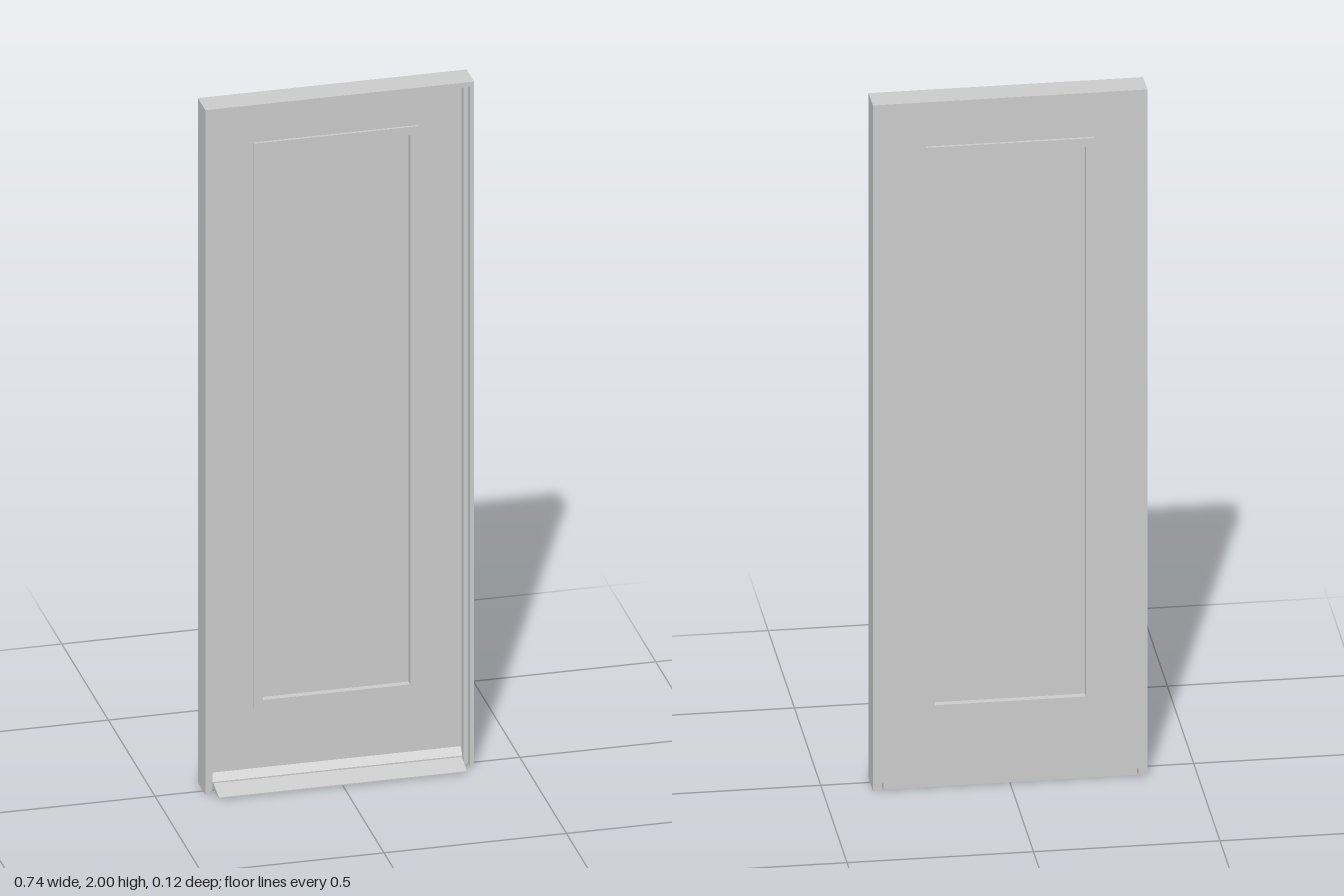
import * as THREE from 'three';

const grey = new THREE.MeshStandardMaterial({ color: 0xcccccc });

const HALF_W = 0.368, BACK = -0.055, FRONT = 0.025;
const DOOR_FRONT = -0.017, DOOR_W = 0.344, DOOR_TOP = 1.976, SILL_TOP = 0.02;

function rectPath(Type, x, y0, y1) {
  const p = new Type();
  p.moveTo(-x, y0);
  p.lineTo(x, y0);
  p.lineTo(x, y1);
  p.lineTo(-x, y1);
  p.closePath();
  return p;
}

function slab(name, shape, z0, z1) {
  const geo = new THREE.ExtrudeGeometry(shape, { depth: z1 - z0, bevelEnabled: false });
  geo.translate(0, 0, z0);
  const mesh = new THREE.Mesh(geo, grey);
  mesh.name = name;
  return mesh;
}

// Rectangular ring; outer and inner are [half width, bottom, top]
function ring(name, outer, inner, z0, z1) {
  const shape = rectPath(THREE.Shape, ...outer);
  shape.holes.push(rectPath(THREE.Path, ...inner));
  return slab(name, shape, z0, z1);
}

// Two jambs and a head, open at the floor
function archFrame(name, xo, yo, xi, yi, z0, z1) {
  const pts = [[-xo, 0], [-xi, 0], [-xi, yi], [xi, yi], [xi, 0], [xo, 0], [xo, yo], [-xo, yo]];
  return slab(name, new THREE.Shape(pts.map(p => new THREE.Vector2(...p))), z0, z1);
}

// Profile of [z, y] points extruded along x
function bar(name, profile, halfW) {
  const shape = new THREE.Shape(profile.map(([z, y]) => new THREE.Vector2(-z, y)));
  const geo = new THREE.ExtrudeGeometry(shape, { depth: halfW * 2, bevelEnabled: false });
  geo.translate(0, 0, -halfW);
  geo.rotateY(Math.PI / 2);
  const mesh = new THREE.Mesh(geo, grey);
  mesh.name = name;
  return mesh;
}

export function createModel() {
  const model = new THREE.Group();
  model.name = 'door';

  // Frame with a stepped reveal
  model.add(archFrame('outerFrame', HALF_W, 2, 0.357, 1.987, BACK, FRONT));
  model.add(archFrame('innerFrame', 0.357, 1.987, DOOR_W, DOOR_TOP, BACK, 0.005));

  // Door leaf with an opening for the panel
  const opening = [0.202, 0.243, 1.847];
  model.add(ring('doorLeaf', [DOOR_W, SILL_TOP, DOOR_TOP], opening, BACK, DOOR_FRONT));

  // Recessed panel
  model.add(slab('panel', rectPath(THREE.Shape, ...opening), BACK + 0.011, DOOR_FRONT - 0.011));

  // Mouldings on both faces
  const outer = [0.226, 0.219, 1.871];
  model.add(ring('backMoulding', outer, opening, BACK - 0.008, BACK));
  model.add(ring('frontMoulding', outer, opening, DOOR_FRONT, DOOR_FRONT + 0.008));

  // Sloping sill between the jambs
  model.add(bar('sill', [
    [0.061, 0.002], [0.061, 0.005], [0, SILL_TOP], [BACK, SILL_TOP], [BACK, 0.002],
  ], 0.34));

  // Weather bar at the foot of the door
  model.add(bar('weatherBar', [
    [0.002, SILL_TOP], [0.002, 0.024], [DOOR_FRONT, 0.043], [DOOR_FRONT, SILL_TOP],
  ], 0.342));

  return model;
}
